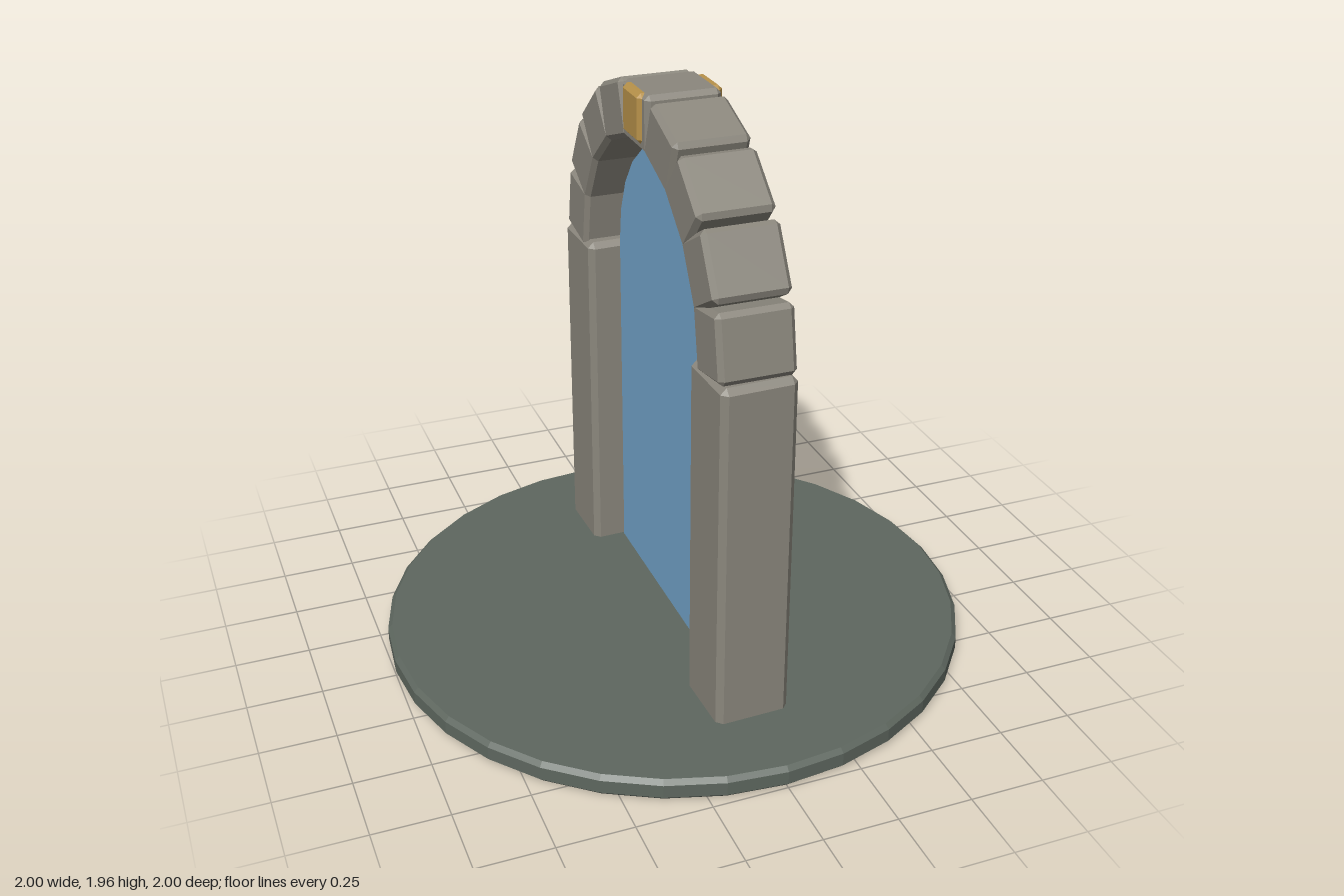
import * as THREE from 'three';
import { ConvexGeometry } from 'three/addons/geometries/ConvexGeometry.js';

const material = (name, color) => {
  const m = new THREE.MeshStandardMaterial({ color, flatShading: true });
  m.name = name;
  return m;
};

// Box with every edge and corner cut off by b
function chamferBox(w, h, d, b) {
  const points = [];
  for (const sx of [-1, 1]) for (const sy of [-1, 1]) for (const sz of [-1, 1]) {
    const x = w / 2, y = h / 2, z = d / 2;
    points.push(
      new THREE.Vector3(sx * x, sy * (y - b), sz * (z - b)),
      new THREE.Vector3(sx * (x - b), sy * y, sz * (z - b)),
      new THREE.Vector3(sx * (x - b), sy * (y - b), sz * z));
  }
  return new ConvexGeometry(points);
}

export function createModel() {
  const model = new THREE.Group();
  model.name = 'portalArch';
  const stone = material('stone', 0x8b877d);
  const slab = material('darkSlab', 0x5e675f);
  const gold = material('gold', 0xb8924a);
  const glow = material('blueGlow', 0x74a6cd);

  const add = (name, geometry, mat, x = 0, y = 0, z = 0) => {
    const mesh = new THREE.Mesh(geometry, mat);
    mesh.name = name;
    mesh.position.set(x, y, z);
    model.add(mesh);
    return mesh;
  };

  // Round base slab with chamfered rims
  const rim = [[0, 0], [0.985, 0], [1, 0.015], [1, 0.06], [0.985, 0.075], [0, 0.075]];
  add('baseSlab', new THREE.LatheGeometry(rim.map(p => new THREE.Vector2(...p)), 32), slab);

  // Two pillars, each set slightly askew
  for (const s of [1, -1]) {
    const pillar = add(s > 0 ? 'frontPillar' : 'backPillar',
      chamferBox(0.25, 1.255, 0.25, 0.02), stone, -0.004, 0.635, s * 0.603);
    pillar.rotation.set(s > 0 ? 0.003 : 0.004, 0.03, 0);
  }

  // Nine arch stones on a half circle
  const centreY = 1.25, radius = 0.612;
  const block = chamferBox(0.25, 0.19, 0.22, 0.016);
  for (let i = 0; i < 9; i++) {
    const a = THREE.MathUtils.degToRad(-80 + i * 20);
    const piece = add('archStone' + (i + 1), block, stone, -0.002,
      centreY + Math.cos(a) * radius, Math.sin(a) * radius);
    piece.rotation.x = a;
  }

  // Gold keystone showing on both faces of the arch
  add('keystone', chamferBox(0.28, 0.16, 0.15, 0.014), gold, 0, 1.875, 0);

  // Thin arched portal filling the opening
  const r = 0.47, springY = 1.265;
  const outline = new THREE.Shape();
  outline.moveTo(-r, 0.01);
  outline.lineTo(r, 0.01);
  for (let i = 0; i <= 12; i++) {
    const a = i * Math.PI / 12;
    outline.lineTo(r * Math.cos(a), springY + r * Math.sin(a));
  }
  const depth = 0.03;
  const sheet = new THREE.ExtrudeGeometry(outline, { depth, bevelEnabled: false });
  sheet.translate(0, 0, -depth / 2);
  sheet.rotateY(Math.PI / 2);
  add('portal', sheet, glow);

  return model;
}
